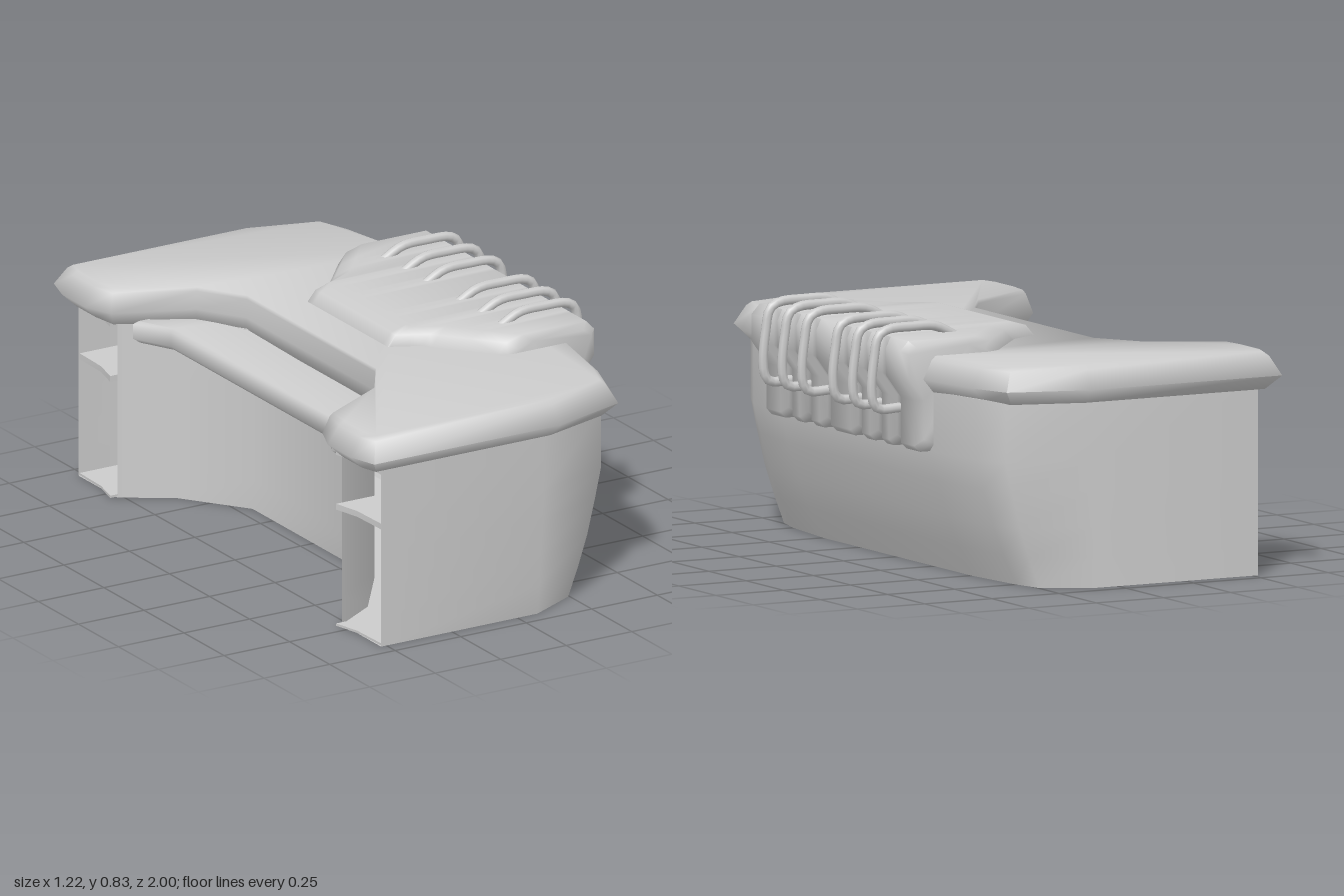
import * as THREE from 'three';
import { toCreasedNormals } from 'three/addons/utils/BufferGeometryUtils.js';

const material = new THREE.MeshStandardMaterial({ color: 0xcccccc, side: THREE.DoubleSide });

// Skin between closed rings stacked along an axis, capped at both ends.
// Rings run counter-clockwise seen from the far end of the axis.
function loft(rings, axis, crease, skip = () => false) {
  const pos = [];
  const tri = (a, b, c) => pos.push(...a, ...b, ...c);
  const n = rings[0].length;
  for (let r = 0; r < rings.length - 1; r++) {
    for (let i = 0; i < n; i++) {
      if (skip(i)) continue;
      const j = (i + 1) % n;
      tri(rings[r][i], rings[r][j], rings[r + 1][j]);
      tri(rings[r][i], rings[r + 1][j], rings[r + 1][i]);
    }
  }
  const cap = (ring, flip) => {
    const flat = ring.map(p => new THREE.Vector2(p[0], axis === 'y' ? -p[2] : p[1]));
    for (const [a, b, c] of THREE.ShapeUtils.triangulateShape(flat, [])) {
      if (flip) tri(ring[a], ring[c], ring[b]);
      else tri(ring[a], ring[b], ring[c]);
    }
  };
  cap(rings[0], true);
  cap(rings[rings.length - 1], false);
  const geo = new THREE.BufferGeometry();
  geo.setAttribute('position', new THREE.Float32BufferAttribute(pos, 3));
  return toCreasedNormals(geo, crease);
}

// Complete a plan outline from its -z half
const mirrored = half => [...half, ...half.slice().reverse().map(([x, z, ...rest]) => [x, -z, ...rest])];

// Move every corner of a plan outline inwards; the third value scales the distance
function inset(outline, d) {
  const n = outline.length;
  return outline.map(([x, z, k], i) => {
    const p = outline[(i + n - 1) % n], q = outline[(i + 1) % n];
    const e1 = new THREE.Vector2(x - p[0], z - p[1]).normalize();
    const e2 = new THREE.Vector2(q[0] - x, q[1] - z).normalize();
    const n1 = new THREE.Vector2(e1.y, -e1.x), n2 = new THREE.Vector2(e2.y, -e2.x);
    const m = n1.clone().add(n2).multiplyScalar(d * k / (1 + n1.dot(n2)));
    return [x + m.x, z + m.y];
  });
}

export function createModel() {
  const group = new THREE.Group();
  const add = (name, geo) => {
    const mesh = new THREE.Mesh(geo, material);
    mesh.name = name;
    group.add(mesh);
    return mesh;
  };

  // Countertop: U-shaped slab with a rounded, overhanging outer rim
  const top = mirrored([
    [0.493, -0.5, 0.8], [0.45, -0.78, 1], [0.40, -0.92, 1], [0.13, -1, 1], [-0.58, -1, 1],
    [-0.61, -0.9, 1], [-0.61, -0.76, 1], [-0.57, -0.66, 0.6], [-0.31, -0.55, 0.1], [-0.213, -0.4, 0.1],
  ]);
  const topRings = [[0.612, 0.05], [0.66, 0], [0.722, 0.038], [0.735, 0.055]]
    .map(([y, d]) => inset(top, d).map(([x, z]) => [x, y, z]));
  add('countertop', loft(topRings, 'y', 1.5));

  // Body: hollow U whose front curves in towards the floor; third value is the share of that curve
  const outer = mirrored([
    [0.455, -0.5, 1], [0.42, -0.75, 0.95], [0.37, -0.86, 0.8], [0.1, -0.945, 0.15], [-0.52, -0.945, 0],
  ]);
  const inner = mirrored([[-0.52, -0.7, 0], [-0.36, -0.6, 0], [-0.2, -0.38, 0]]);
  const plan = [...outer.slice(0, 5), ...inner, ...outer.slice(5)];
  const bodyRings = [[0, 0.155], [0.1, 0.107], [0.2, 0.065], [0.32, 0.028], [0.42, 0], [0.62, 0]]
    .map(([y, d]) => plan.map(([x, z, k]) => [x - d * k, y, z]));
  // the ends of both arms stay open
  add('body', loft(bodyRings, 'y', 1.02, i => i === 4 || i === 10));

  // Shelves inside the arms, reaching out slightly at their inner corner
  for (const [y, thickness] of [[0.002, 0.008], [0.405, 0.02], [0.595, 0.014]]) {
    const shelf = [[0.08, -0.705], [0.08, -0.94], [-0.518, -0.94], [-0.522, -0.8], [-0.545, -0.705]];
    for (const side of [-1, 1]) {
      const outline = side < 0 ? shelf : shelf.map(([x, z]) => [x, -z]).reverse();
      add('shelf', loft([y, y + thickness].map(h => outline.map(([x, z]) => [x, h, z])), 'y', 0.5));
    }
  }

  // Low ledge under the counter's inner edge, rising a little towards its rounded rim
  const ledge = mirrored([[0, -0.5, 0], [-0.22, -0.57, 0], [-0.3, -0.68, 0], [-0.51, -0.62, 1], [-0.444, -0.49, 1]]);
  const ledgeRings = [[0.56, 0.015, 0], [0.575, 0, 0], [0.595, 0, 0.03], [0.605, 0.012, 0.03]]
    .map(([y, d, rise]) => inset(ledge, d).map(([x, z], i) => [x, y + rise * ledge[i][2], z]));
  add('ledge', loft(ledgeRings, 'y', 1));

  // Padded cover: side profile carried along z, grooved under each bar
  const barZ = [0.104, 0.237, 0.365];
  const profile = ({ z, back, groove, end }, side) => [
    [0.43, 0.42 + end + groove], [0.49 - groove - end, 0.42 + end + groove],
    [0.51 - groove - end, 0.44 + end + groove], [0.51 - groove - end, 0.59],
    [0.565 - groove - end, 0.665], [0.565 - groove - end, 0.755 - end / 2],
    [0.535 - end, 0.787 - end], [back + 0.09, 0.787 - end], [back + 0.03, 0.77 - end],
    [back, 0.735 - end], [back, 0.7 - end],
  ].map(([x, y]) => [x, y, z * side]);
  const stations = [[0.25, -0.07, 0, 0.018], [0.3, 0.03, 0, 0], [0.5, 0.2, 0, 0], [0.52, 0.23, 0.022, 0]]
    .map(([z, back, end, groove]) => ({ z, back, end, groove }));
  const backAt = z => z <= 0.25 ? -0.07 : z <= 0.3 ? -0.07 + (z - 0.25) * 2 : 0.03 + (z - 0.3) * 0.85;
  for (const z of barZ) {
    for (const [dz, groove] of [[-0.04, 0], [-0.017, 0.018], [0.017, 0.018], [0.04, 0]]) {
      stations.push({ z: z + dz, back: backAt(z + dz), end: 0, groove });
    }
  }
  stations.sort((a, b) => a.z - b.z);
  const padRings = [
    ...stations.slice().reverse().map(s => profile(s, -1)),
    ...stations.map(s => profile(s, 1)),
  ];
  add('paddedCover', loft(padRings, 'z', 1.1));

  // Bent bars over the front edge of the cover
  const bends = [
    [0.285, 0.772], [0.36, 0.809], [0.45, 0.813], [0.54, 0.808], [0.572, 0.787],
    [0.587, 0.72], [0.597, 0.62], [0.59, 0.57], [0.57, 0.55], [0.49, 0.55],
  ].map(([x, y]) => new THREE.Vector3(x, y, 0));
  const curve = new THREE.CatmullRomCurve3(bends, false, 'centripetal');
  const barGeo = new THREE.TubeGeometry(curve, 28, 0.016, 8);
  for (const side of [-1, 1]) {
    for (const z of barZ) add('bar', barGeo).position.z = side * z;
  }
  return group;
}
